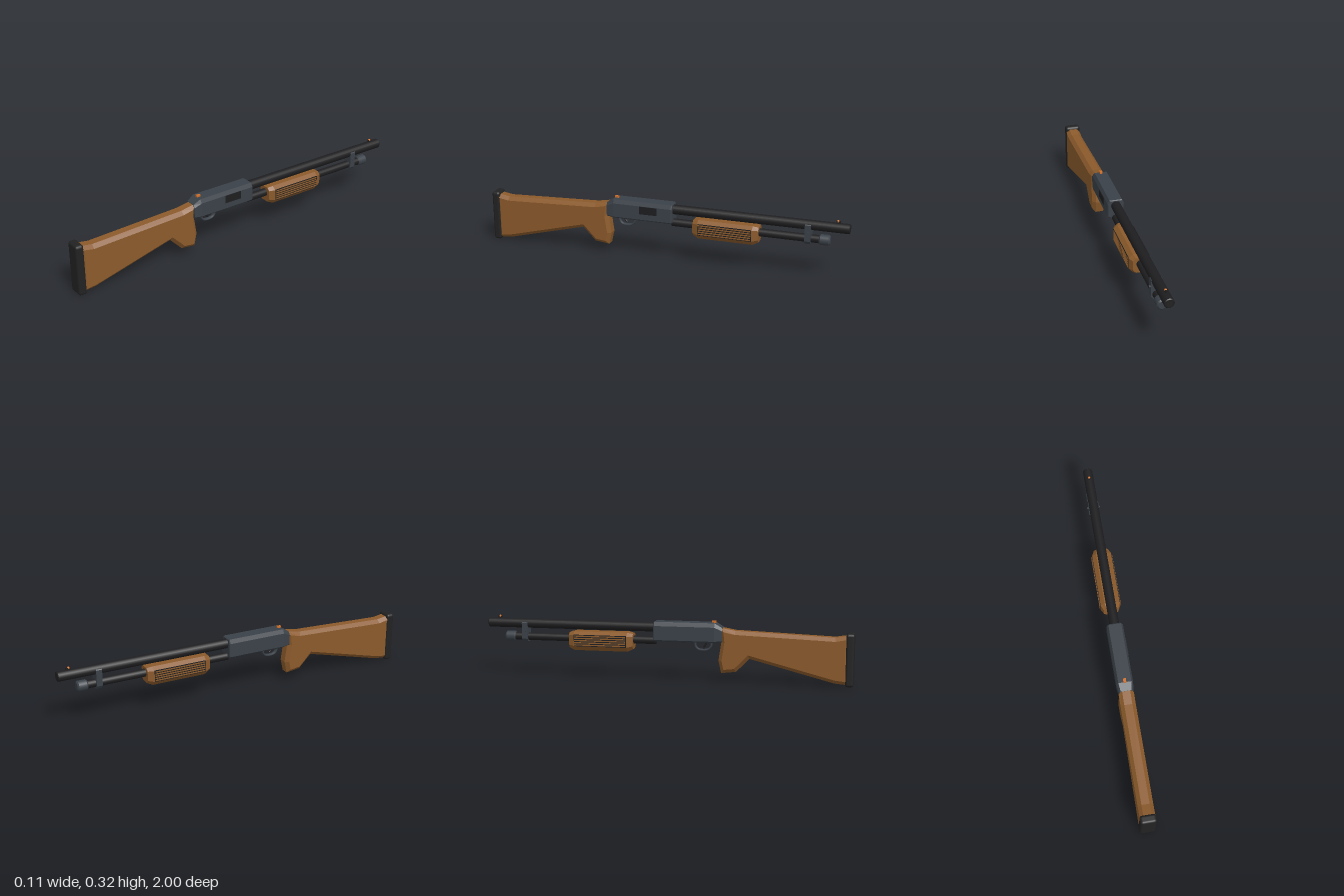
import * as THREE from 'three';
import { RoundedBoxGeometry } from 'three/addons/geometries/RoundedBoxGeometry.js';

const material = (name, color) => {
  const m = new THREE.MeshStandardMaterial({ color });
  m.name = name;
  return m;
};

// Chamfered rectangle, counterclockwise seen from +z
function ring(w, y0, y1, cx, top, bottom) {
  return [[w, y0 + bottom], [w, y1 - top], [w - cx, y1], [cx - w, y1],
    [-w, y1 - top], [-w, y0 + bottom], [cx - w, y0], [w - cx, y0]];
}

// Flat-faced loft through rings ordered by rising z
function loft(sections) {
  const pos = [];
  const v = (i, j) => {
    const r = sections[i].ring, p = r[j % r.length];
    pos.push(p[0], p[1], sections[i].z);
  };
  const n = sections[0].ring.length, last = sections.length - 1;
  for (let i = 0; i < last; i++) {
    for (let j = 0; j < n; j++) {
      v(i, j); v(i, j + 1); v(i + 1, j + 1);
      v(i, j); v(i + 1, j + 1); v(i + 1, j);
    }
  }
  for (let j = 1; j < n - 1; j++) {
    v(last, 0); v(last, j); v(last, j + 1);
    v(0, 0); v(0, j + 1); v(0, j);
  }
  const g = new THREE.BufferGeometry();
  g.setAttribute('position', new THREE.Float32BufferAttribute(pos, 3));
  g.computeVertexNormals();
  return g;
}

// Side profile given as [z, y], extruded across x with chamfered edges
function sideExtrude(points, width, bevel) {
  const shape = new THREE.Shape(points.map(([z, y]) => new THREE.Vector2(z, y)));
  const g = new THREE.ExtrudeGeometry(shape, {
    depth: width - 2 * bevel, bevelEnabled: true, bevelThickness: bevel,
    bevelSize: bevel, bevelOffset: -bevel, bevelSegments: 1,
  });
  g.translate(0, 0, bevel - width / 2);
  return g.rotateY(-Math.PI / 2);
}

// Rod along z with small chamfers, from z0 (far end) to z1
function rod(r, y, z0, z1, c = 0.004) {
  const h = z1 - z0;
  const profile = [[0, 0], [r - c, 0], [r - c, 0], [r, c], [r, c], [r, h - c], [r, h - c], [r - c, h], [r - c, h], [0, h]];
  const g = new THREE.LatheGeometry(profile.map(([a, b]) => new THREE.Vector2(a, b)), 20);
  return g.rotateX(Math.PI / 2).translate(0, y, z0);
}

const box = (w, h, d, x, y, z) => new THREE.BoxGeometry(w, h, d).translate(x, y, z);

export function createModel() {
  const group = new THREE.Group();
  const wood = material('walnut wood', 0x8b5a2b);
  const steel = material('blued steel', 0x3a4148);
  const black = material('black steel', 0x1e1e20);
  const rubber = material('rubber', 0x222222);
  const orange = material('orange', 0xd0702a);
  const add = (name, geometry, mat) => {
    const mesh = new THREE.Mesh(geometry, mat);
    mesh.name = name;
    group.add(mesh);
    return mesh;
  };

  // Stock with grip, and butt pad
  add('stock', sideExtrude([
    [0.97, 0.268], [0.955, 0.266], [0.9, 0.257], [0.38, 0.277], [0.3, 0.291],
    [0.305, 0.215], [0.29, 0.115], [0.305, 0.048], [0.385, 0.058],
    [0.455, 0.13], [0.9, 0.016], [0.97, 0.01],
  ], 0.08, 0.019), wood);
  add('buttPad', new RoundedBoxGeometry(0.085, 0.279, 0.045, 2, 0.014).translate(0, 0.1405, 0.9775), rubber);

  // Receiver with sloping rear
  add('receiver', loft([
    { z: -0.06, ring: ring(0.041, 0.214, 0.311, 0.01, 0.022, 0.008) },
    { z: -0.055, ring: ring(0.044, 0.21, 0.315, 0.01, 0.022, 0.008) },
    { z: 0.27, ring: ring(0.044, 0.21, 0.315, 0.01, 0.022, 0.008) },
    { z: 0.31, ring: ring(0.038, 0.214, 0.291, 0.01, 0.016, 0.008) },
  ]), steel);
  add('ejectionPort', box(0.005, 0.042, 0.098, 0.0445, 0.271, 0.071), black);
  add('loadingPort', box(0.05, 0.004, 0.16, 0, 0.2095, 0.035), black);
  add('safetyButton', box(0.015, 0.012, 0.022, 0, 0.318, 0.262), orange);

  // Trigger and its guard
  const guardPath = new THREE.CatmullRomCurve3(
    [[0.25, 0.215], [0.247, 0.188], [0.23, 0.17], [0.18, 0.17], [0.164, 0.186], [0.161, 0.215]]
      .map(([z, y]) => new THREE.Vector3(0, y, z)));
  const guard = new THREE.TubeGeometry(guardPath, 24, 0.006, 8);
  add('triggerGuard', guard.scale(2, 1, 1), steel);
  const triggerPath = new THREE.QuadraticBezierCurve3(
    new THREE.Vector3(0, 0.215, 0.222), new THREE.Vector3(0, 0.195, 0.222), new THREE.Vector3(0, 0.182, 0.205));
  add('trigger', new THREE.TubeGeometry(triggerPath, 8, 0.005, 8), black);

  // Barrel and magazine tube
  add('barrel', rod(0.026, 0.283, -0.998, -0.05), black);
  add('muzzleBore', new THREE.CircleGeometry(0.016, 20).rotateY(Math.PI).translate(0, 0.283, -0.999), rubber);
  add('magazineTube', rod(0.021, 0.21, -0.85, -0.05), black);
  add('magazineCap', rod(0.028, 0.21, -0.9, -0.843, 0.007), steel);
  add('frontSightPost', box(0.009, 0.016, 0.022, 0, 0.312, -0.937), black);
  add('frontSightBead', new THREE.SphereGeometry(0.007, 10, 8).translate(0, 0.318, -0.934), orange);

  // Clamp joining barrel and tube
  add('barrelClamp', loft([
    { z: -0.802, ring: ring(0.028, 0.183, 0.302, 0.012, 0.016, 0.016) },
    { z: -0.77, ring: ring(0.028, 0.183, 0.302, 0.012, 0.016, 0.016) },
  ]), steel);
  add('clampBolt', new THREE.CylinderGeometry(0.007, 0.007, 0.066, 10)
    .rotateZ(Math.PI / 2).translate(0, 0.246, -0.786), steel);

  // Sliding fore-end with ribbed grip panels
  const body = ring(0.053, 0.147, 0.25, 0.022, 0.018, 0.025);
  const tip = ring(0.039, 0.16, 0.243, 0.016, 0.014, 0.018);
  add('foreEnd', loft([
    { z: -0.53, ring: tip }, { z: -0.5, ring: body },
    { z: -0.205, ring: body }, { z: -0.175, ring: tip },
  ]), wood);
  for (const side of [1, -1]) {
    add('gripPanel', box(0.003, 0.063, 0.29, side * 0.0535, 0.203, -0.3525), black);
    for (let i = 0; i < 5; i++) {
      add('gripRib', box(0.005, 0.0065, 0.284, side * 0.0545, 0.179 + i * 0.012, -0.3525), wood);
    }
  }
  return group;
}
